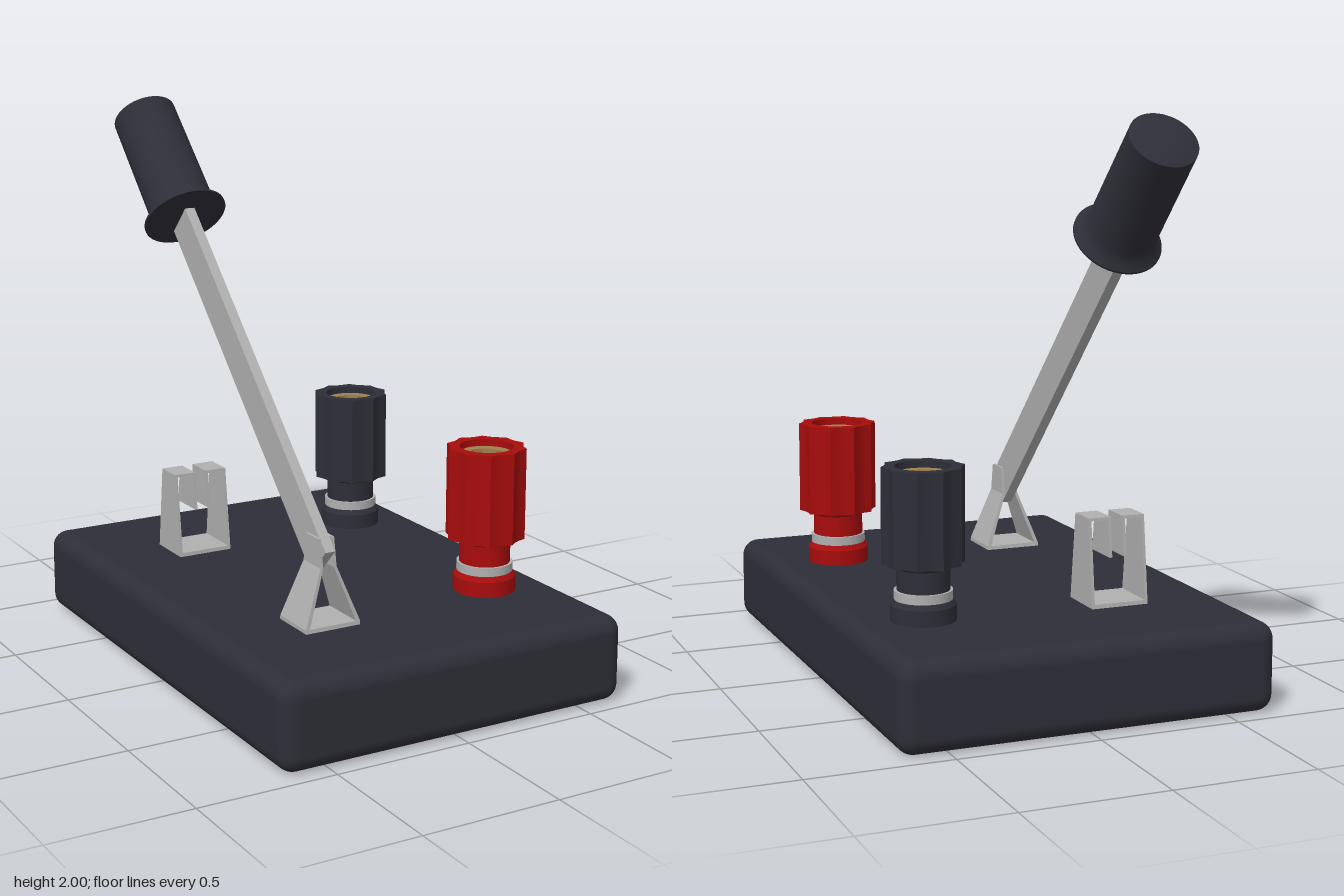
import * as THREE from 'three';
import { toCreasedNormals } from 'three/addons/utils/BufferGeometryUtils.js';
import { RoundedBoxGeometry } from 'three/addons/geometries/RoundedBoxGeometry.js';

const material = (name, color) => new THREE.MeshStandardMaterial({ name, color });

function add(parent, name, geometry, mat) {
  const mesh = new THREE.Mesh(geometry, mat);
  mesh.name = name;
  parent.add(mesh);
  return mesh;
}

// Turned part from [radius, height] pairs, listed from bottom to top
function turned(points, segments = 40) {
  const profile = points.map(([r, y]) => new THREE.Vector2(r, y));
  return toCreasedNormals(new THREE.LatheGeometry(profile, segments), 0.45);
}

// Upright fluted grip with a bored centre
function flutedGrip(height, radius, groove, bore) {
  const flutes = 10, steps = 6, points = [];
  for (let i = 0; i < flutes * steps; i++) {
    const a = THREE.MathUtils.degToRad(98) + (i / (flutes * steps)) * Math.PI * 2;
    const r = radius - groove * Math.sin((Math.PI * (i % steps)) / steps);
    points.push(new THREE.Vector2(r * Math.cos(a), r * Math.sin(a)));
  }
  const shape = new THREE.Shape(points);
  shape.holes.push(new THREE.Path().absarc(0, 0, bore, 0, Math.PI * 2, true));
  const geo = new THREE.ExtrudeGeometry(shape, { depth: height, bevelEnabled: false, curveSegments: 32 });
  geo.rotateX(-Math.PI / 2);
  return toCreasedNormals(geo, 0.4);
}

// Sheet-metal profile pulled along z, narrowing towards the top
function taperedSheet(points, bottomHalf, topHalf, height) {
  const shape = new THREE.Shape(points.map(([x, y]) => new THREE.Vector2(x, y)));
  const geo = new THREE.ExtrudeGeometry(shape, { depth: 2, bevelEnabled: false });
  geo.translate(0, 0, -1);
  const p = geo.attributes.position;
  for (let i = 0; i < p.count; i++) {
    p.setZ(i, p.getZ(i) * THREE.MathUtils.lerp(bottomHalf, topHalf, p.getY(i) / height));
  }
  geo.computeVertexNormals();
  return geo;
}

// Mirrors the right half of a profile to make it symmetric
const mirrored = (half) => [...half, ...half.map(([x, y]) => [-x, y]).reverse()];

export function createModel() {
  const model = new THREE.Group();
  model.name = 'knifeSwitch';
  const dark = material('charcoal plastic', 0x2e2e38);
  const red = material('red plastic', 0xa80c0c);
  const steel = material('steel', 0xb0b0b0);
  const brass = material('brass', 0xa08050);
  const top = 0.31;

  // Base block
  add(model, 'base', new RoundedBoxGeometry(1.34, top, 1.92, 5, 0.06), dark).position.y = top / 2;

  // Binding posts
  for (const [name, z, plastic] of [['frontTerminal', 0.47, red], ['rearTerminal', -0.47, dark]]) {
    const post = new THREE.Group();
    post.name = name;
    post.position.set(0.415, top, z);
    model.add(post);
    add(post, 'collar', turned([[0.112, 0], [0.112, 0.055], [0.1, 0.073], [0, 0.073]]), plastic);
    add(post, 'washer', turned([[0.1, 0.07], [0.1, 0.105], [0, 0.105]]), steel);
    add(post, 'neck', turned([[0.091, 0.1], [0.091, 0.18], [0.126, 0.2]]), plastic);
    add(post, 'grip', flutedGrip(0.33, 0.143, 0.014, 0.095), plastic).position.y = 0.195;
    add(post, 'sleeve', turned([[0.095, 0.2], [0.095, 0.5], [0.06, 0.5], [0.06, 0.2]]), brass);
    add(post, 'socketFloor', turned([[0.06, 0.48], [0, 0.48]]), dark);
  }

  // Hinge bracket: two plates leaning in to clasp the blade
  const hinge = mirrored([
    [0.105, 0], [0.105, 0.014], [0.031, 0.21], [0.031, 0.31],
    [0.021, 0.31], [0.021, 0.207], [0.09, 0.014],
  ]);
  add(model, 'hingeBracket', taperedSheet(hinge, 0.092, 0.042, 0.31), steel).position.set(-0.27, top, 0.485);

  // Contact clip: upright walls folded over into two inner jaws
  const clip = mirrored([
    [0.105, 0], [0.105, 0.31], [0.022, 0.31], [0.022, 0.17],
    [0.032, 0.17], [0.032, 0.3], [0.095, 0.3], [0.095, 0.014],
  ]);
  add(model, 'contactClip', taperedSheet(clip, 0.092, 0.055, 0.31), steel).position.set(-0.27, top, -0.475);

  // Blade, raised to 45 degrees
  const lever = new THREE.Group();
  lever.name = 'lever';
  lever.position.set(-0.27, 0.528, 0.507);
  lever.rotation.x = -Math.PI / 4;
  model.add(lever);
  add(lever, 'blade', new THREE.BoxGeometry(0.038, 1.53, 0.138), steel).position.y = 0.765;

  // Handle with flared guard and slightly domed end
  const handle = add(lever, 'handle', turned([
    [0, 0], [0.156, 0], [0.156, 0.008], [0.135, 0.028], [0.122, 0.06],
    [0.119, 0.48], [0.09, 0.489], [0.05, 0.494], [0, 0.495],
  ], 48), dark);
  handle.position.set(0, 1.46, 0.016);

  return model;
}
